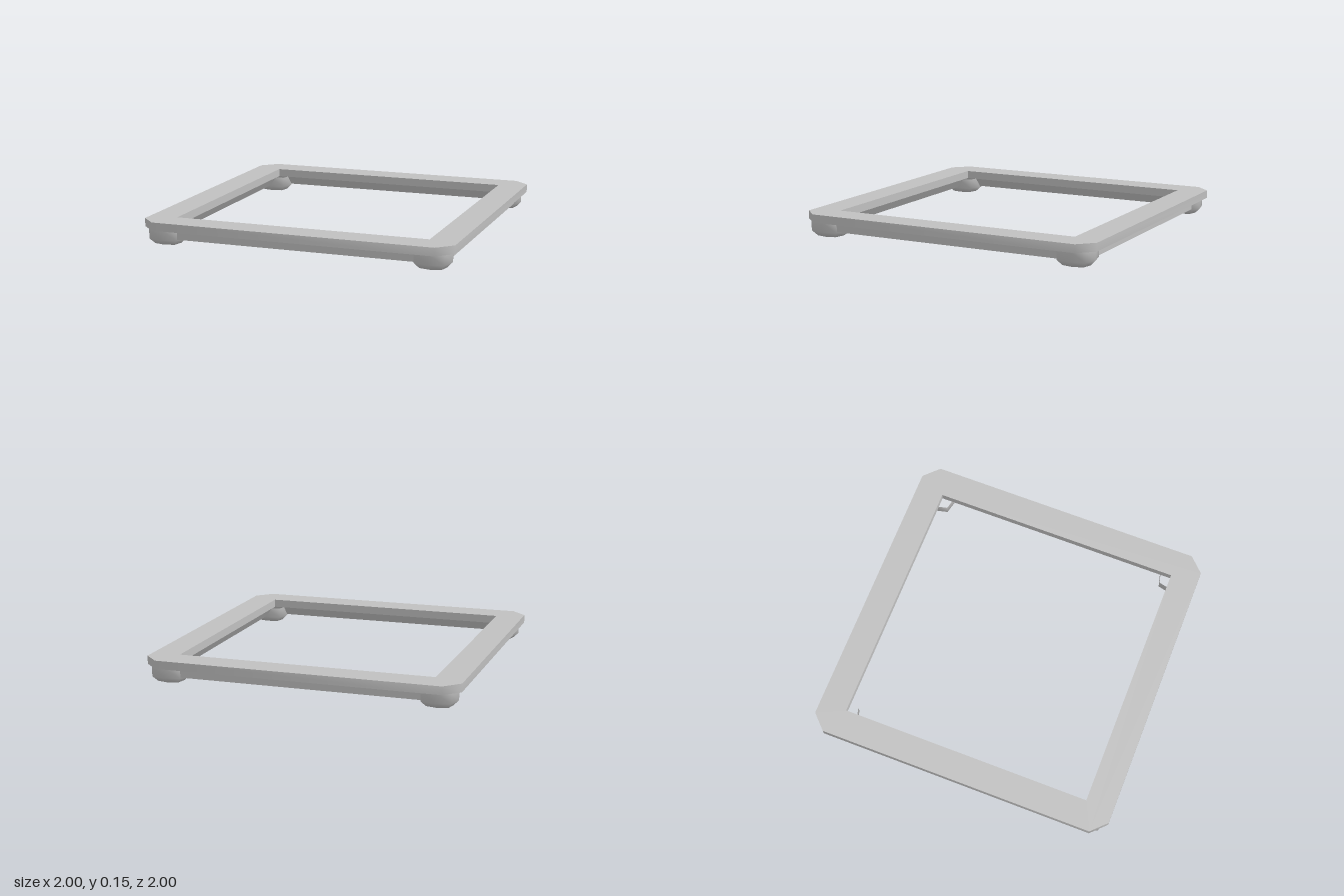
import * as THREE from 'three';
import { mergeVertices, toCreasedNormals } from 'three/addons/utils/BufferGeometryUtils.js';

const v2 = (pairs) => pairs.map(([x, y]) => new THREE.Vector2(x, y));

// Flat frame with cut outer corners and a square opening
function rimGeometry() {
  const o = 1, c = 0.905, i = 0.82;
  const shape = new THREE.Shape(v2([[c, -o], [o, -c], [o, c], [c, o], [-c, o], [-o, c], [-o, -c], [-c, -o]]));
  shape.holes.push(new THREE.Path(v2([[-i, -i], [-i, i], [i, i], [i, -i]])));
  const geo = new THREE.ExtrudeGeometry(shape, { depth: 0.052, bevelEnabled: false });
  geo.rotateX(-Math.PI / 2).translate(0, 0.098, 0);
  return toCreasedNormals(geo, Math.PI / 3);
}

// Mitred rail ring whose inner face slopes outward towards the bottom
function railGeometry() {
  const profile = v2([[0.86, 0.04], [0.945, 0.04], [0.945, 0.098], [0.82, 0.098], [0.86, 0.04]]);
  profile.forEach((p) => { p.x *= Math.SQRT2; });
  const geo = new THREE.LatheGeometry(profile, 4).rotateY(Math.PI / 4).toNonIndexed();
  geo.computeVertexNormals();
  return geo;
}

// Cushion foot: eight-sided lathe with its diagonals pushed out to a soft square
function footGeometry() {
  const profile = v2([[0, 0], [0.082, 0], [0.115, 0.034], [0.115, 0.1]]);
  let geo = new THREE.LatheGeometry(profile, 8);
  const pos = geo.attributes.position;
  for (let k = 0; k < pos.count; k++) {
    const x = pos.getX(k), z = pos.getZ(k);
    if (Math.abs(x) > 0.01 && Math.abs(z) > 0.01) pos.setXYZ(k, x * 1.144, pos.getY(k), z * 1.144);
  }
  geo.deleteAttribute('uv');
  geo.deleteAttribute('normal');
  geo = mergeVertices(geo, 1e-4);
  geo.computeVertexNormals();
  return geo;
}

export function createModel() {
  const group = new THREE.Group();
  group.name = 'squareBaseFrame';
  const grey = new THREE.MeshStandardMaterial({ color: 0xc0c0c0 });
  grey.name = 'lightGrey';

  const add = (name, geo) => {
    const mesh = new THREE.Mesh(geo, grey);
    mesh.name = name;
    group.add(mesh);
    return mesh;
  };

  add('topRim', rimGeometry());
  add('lowerRail', railGeometry());

  // One foot under each corner
  const foot = footGeometry();
  for (const [sx, side] of [[1, 'Left'], [-1, 'Right']]) {
    for (const [sz, end] of [[1, 'front'], [-1, 'back']]) {
      add(`${end}${side}Foot`, foot).position.set(sx * 0.857, 0, sz * 0.857);
    }
  }
  return group;
}
